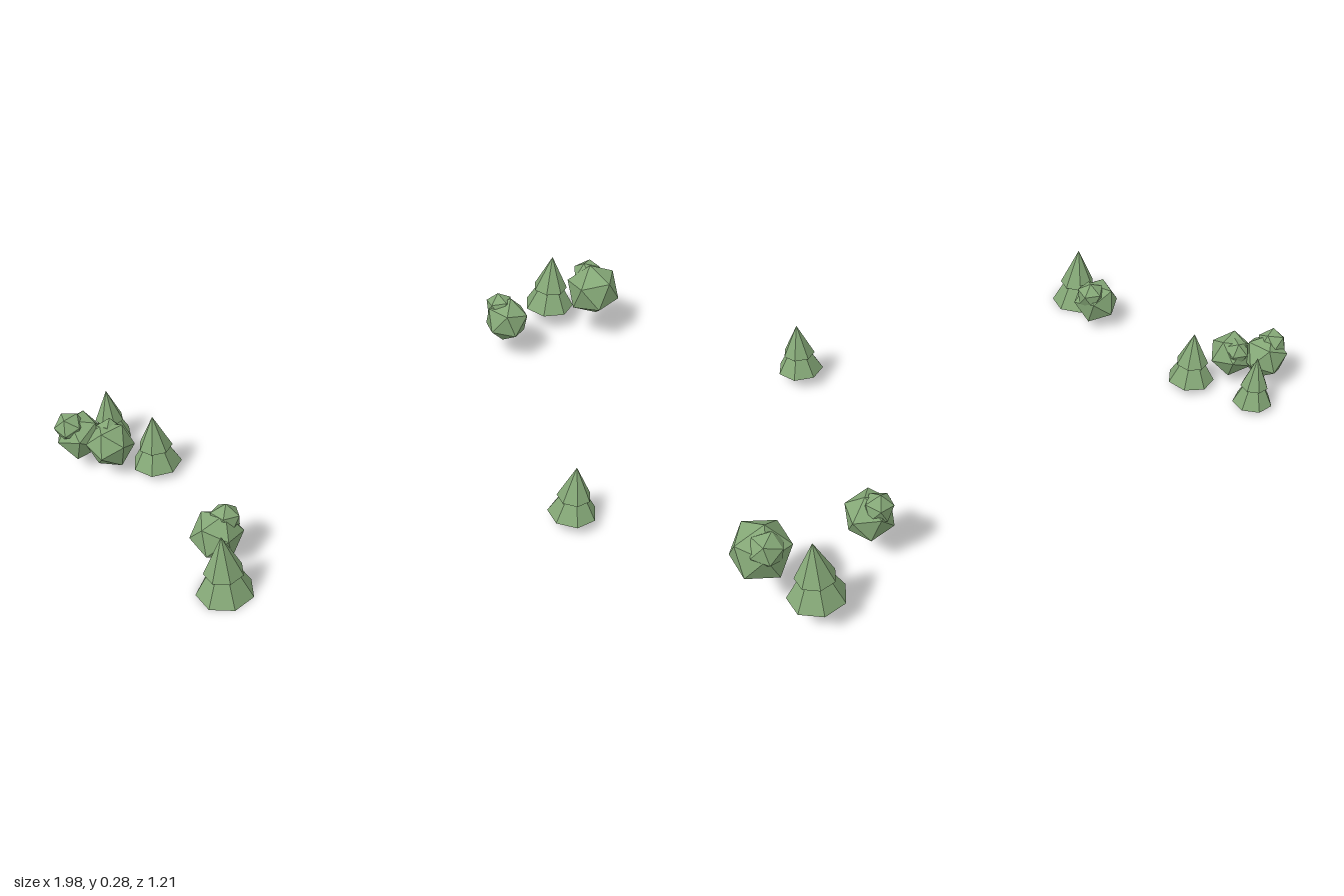
import * as THREE from 'three';

// conifers: x, base y, z, base radius, height, turn
const CONIFERS = [
  [-0.615, 0, 0.512, 0.086, 0.207, 0.1],
  [0.445, 0.04, 0.528, 0.075, 0.17, 0.7],
  [0.803, 0.068, -0.52, 0.086, 0.195, 0.3],
  [-0.698, 0.023, -0.1, 0.077, 0.176, 0.5],
  [-0.812, 0.016, -0.293, 0.065, 0.172, 0.2],
];

// round trees: large crown [x, y, z, radius], small crown [x, y, z, radius], turn
const ROUND_TREES = [
  [[-0.603, 0.088, 0.364, 0.08], [-0.573, 0.128, 0.35, 0.05], 0.4],
  [[0.575, 0.146, -0.362, 0.078], [0.557, 0.188, -0.39, 0.048], 1.1],
  [[0.91, 0.185, -0.397, 0.094], [0.905, 0.22, -0.44, 0.055], 2.0],
  [[-0.915, 0.105, -0.2, 0.077], [-0.943, 0.145, -0.197, 0.05], 2.9],
  [[-0.832, 0.1, -0.132, 0.075], [-0.83, 0.125, -0.16, 0.046], 3.6],
];

export function createModel() {
  const model = new THREE.Group();
  model.name = 'treeClusters';
  const foliage = new THREE.MeshStandardMaterial({ color: 0x85a877, flatShading: true });

  function part(name, geometry, parent) {
    const mesh = new THREE.Mesh(geometry, foliage);
    mesh.name = name;
    parent.add(mesh);
    return mesh;
  }

  // two stacked seven-sided cones per conifer
  for (const [x, y, z, r, h, turn] of CONIFERS) {
    const tree = new THREE.Group();
    tree.name = 'conifer';
    tree.position.set(x, y, z);
    tree.rotation.y = turn;
    const lower = h * 0.78;
    const upper = h * 0.63;
    part('lowerTier', new THREE.ConeGeometry(r, lower, 7), tree).position.y = lower / 2;
    part('upperTier', new THREE.ConeGeometry(r * 0.69, upper, 7), tree).position.y = h - upper / 2;
    model.add(tree);
  }

  // a large faceted crown with a smaller one merged into its top
  for (const [large, small, turn] of ROUND_TREES) {
    const tree = new THREE.Group();
    tree.name = 'roundTree';
    [large, small].forEach(([x, y, z, r], i) => {
      const crown = part(i ? 'smallCrown' : 'largeCrown', new THREE.IcosahedronGeometry(r, 0), tree);
      crown.position.set(x, y, z);
      crown.rotation.set(0.25, turn + i * 0.8, 0.15);
    });
    model.add(tree);
  }
  return model;
}
